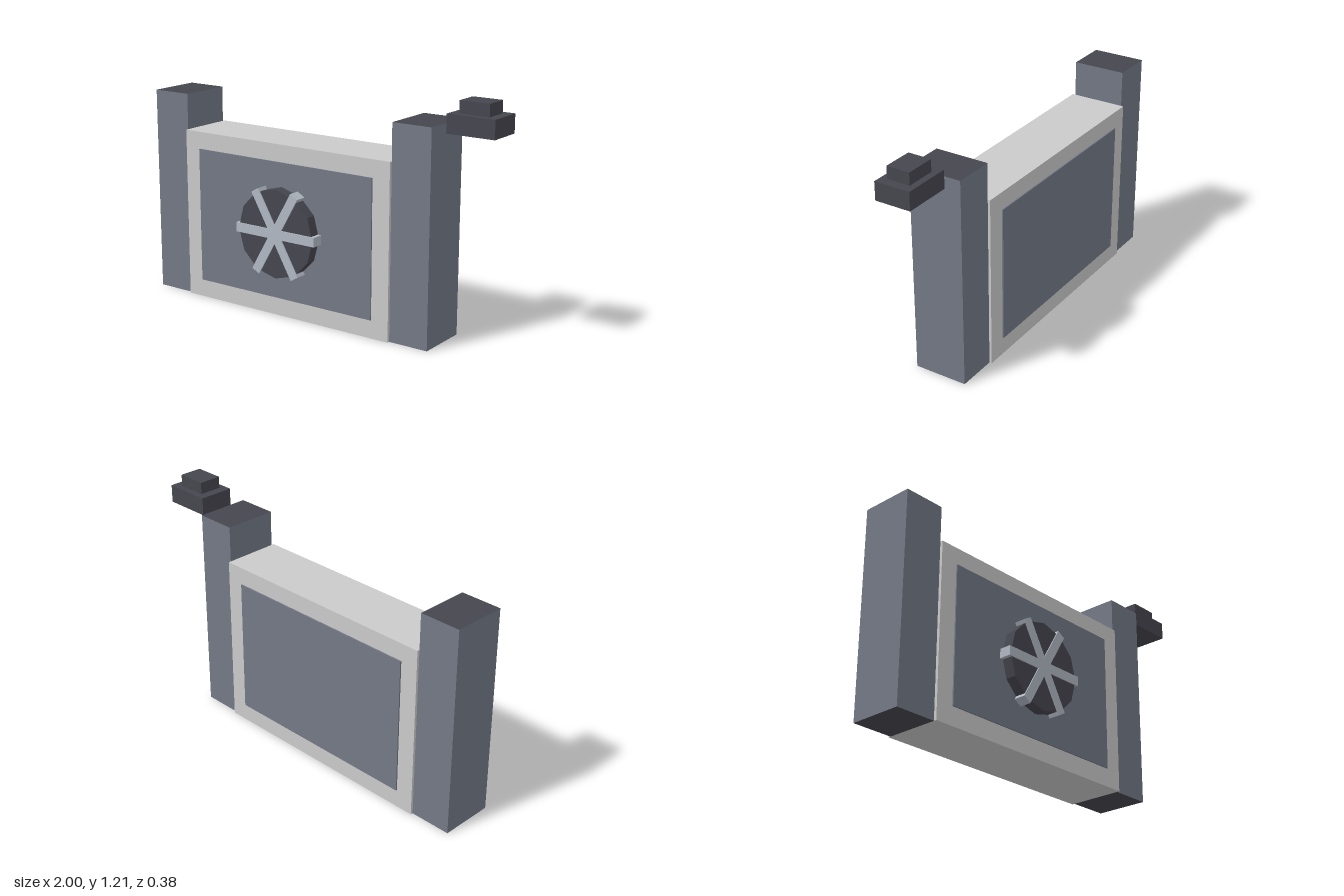
import * as THREE from 'three';

const mat = (name, color) => {
  const m = new THREE.MeshStandardMaterial({ color });
  m.name = name;
  return m;
};

export function createModel() {
  const slate = mat('slate', 0x737986);
  const dark = mat('charcoal', 0x46464f);
  const pale = mat('pale grey', 0xcacaca);
  const steel = mat('light steel', 0xb1b9c4);

  const model = new THREE.Group();
  model.name = 'gate';

  // Box given by its minimum and maximum corners
  const box = (name, material, [x0, y0, z0], [x1, y1, z1]) => {
    const mesh = new THREE.Mesh(new THREE.BoxGeometry(x1 - x0, y1 - y0, z1 - z0), material);
    mesh.position.set((x0 + x1) / 2, (y0 + y1) / 2, (z0 + z1) / 2);
    mesh.name = name;
    model.add(mesh);
    return mesh;
  };

  // Side posts with dark top and bottom
  const postFaces = [slate, slate, dark, dark, slate, slate];
  box('rightPost', postFaces, [-1, 0, -0.172], [-0.783, 1.085, 0.108]);
  box('leftPost', postFaces, [0.487, 0, -0.172], [0.7, 1.085, 0.108]);

  // Door slab with a thin inset panel on each face
  box('doorSlab', pale, [-0.783, 0, -0.185], [0.487, 0.898, 0.123]);
  box('frontPanel', slate, [-0.69, 0.095, 0.122], [0.39, 0.808, 0.13]);
  box('backPanel', slate, [-0.69, 0.095, -0.192], [0.39, 0.808, -0.184]);

  // Hand wheel: twelve-sided disc crossed by three bars
  const wheel = new THREE.Group();
  wheel.name = 'wheel';
  wheel.position.set(-0.15, 0.452, 0.128);
  const disc = new THREE.Mesh(new THREE.CylinderGeometry(0.232, 0.232, 0.058, 12), dark);
  disc.material.flatShading = true;
  disc.name = 'wheelDisc';
  disc.rotation.x = Math.PI / 2;
  disc.position.z = 0.029;
  wheel.add(disc);
  for (let i = 0; i < 3; i++) {
    const bar = new THREE.Mesh(new THREE.BoxGeometry(0.49, 0.049, 0.064), steel);
    bar.name = 'wheelBar';
    bar.rotation.z = (i * Math.PI) / 3;
    bar.position.z = 0.032;
    wheel.add(bar);
  }
  model.add(wheel);

  // Separate stepped block beside the left post
  box('blockBase', dark, [0.75, 1.055, -0.123], [1, 1.148, 0.063]);
  box('blockTop', dark, [0.797, 1.148, -0.09], [0.953, 1.21, 0.031]);

  return model;
}
